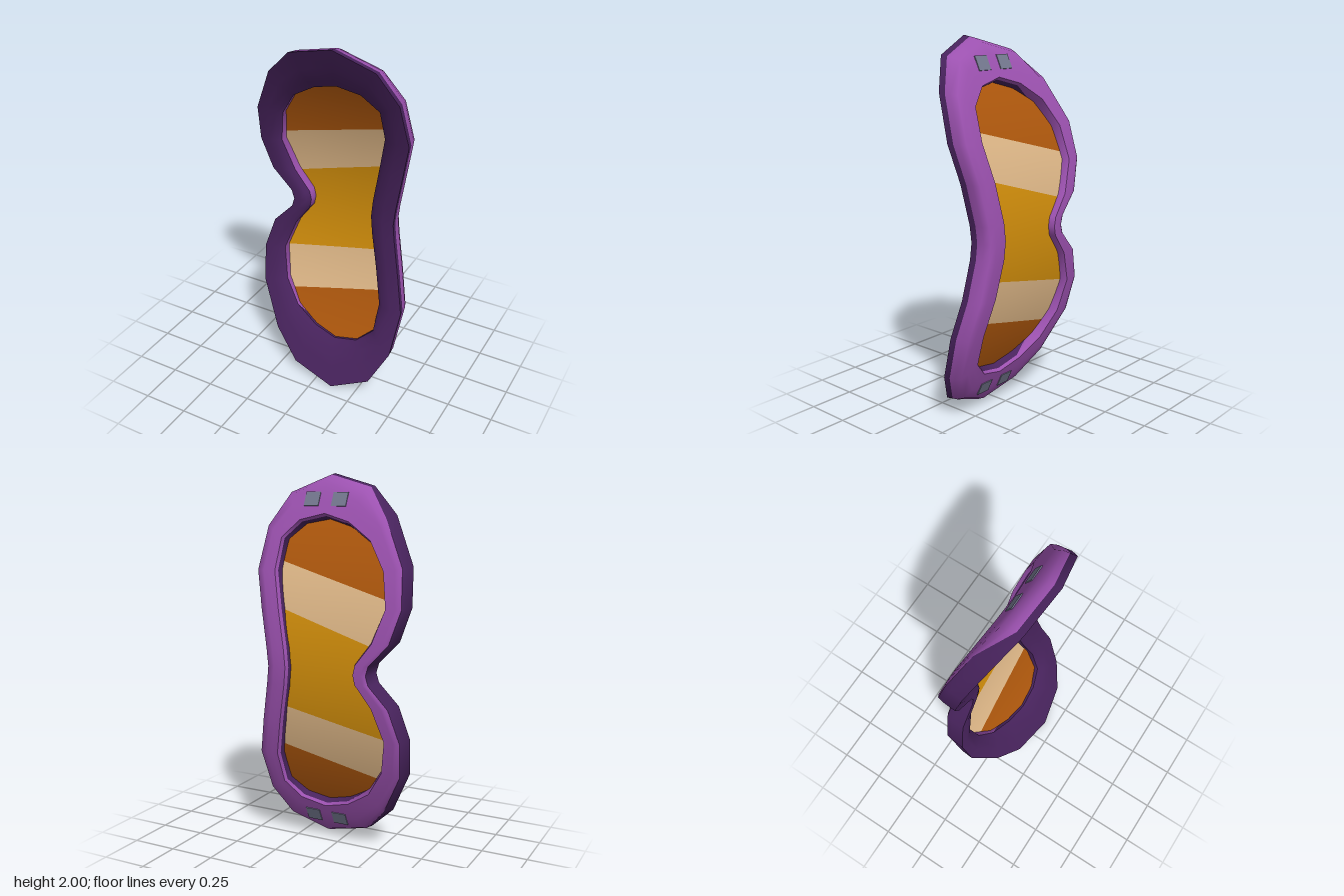
import * as THREE from 'three';

const mat = (name, color) => {
  const m = new THREE.MeshStandardMaterial({ color, side: THREE.DoubleSide });
  m.name = name;
  return m;
};

// Upper half outlines [x, y], clockwise from the crown to the middle, and from the nose notch back up
const outerRight = [[0.11, 2], [0.32, 1.91], [0.41, 1.74], [0.435, 1.5], [0.39, 1.3], [0.35, 1.09], [0.34, 1]];
const outerLeft = [[-0.26, 1], [-0.275, 1.05], [-0.385, 1.165], [-0.44, 1.34], [-0.425, 1.54], [-0.295, 1.79], [-0.14, 1.935]];
const innerRight = [[0.06, 1.765], [0.19, 1.74], [0.28, 1.66], [0.29, 1.5], [0.245, 1.3], [0.205, 1.1], [0.195, 1]];
const innerLeft = [[-0.17, 1], [-0.18, 1.05], [-0.265, 1.165], [-0.33, 1.34], [-0.295, 1.52], [-0.205, 1.65], [-0.07, 1.73]];

// Closed outline mirrored about y = 1
function closeOutline(right, left) {
  const flip = ([x, y]) => [x, 2 - y];
  return [
    ...right,
    ...right.slice(0, -1).reverse().map(flip),
    ...left.slice(1).reverse().map(flip),
    ...left,
  ];
}
const outer = closeOutline(outerRight, outerLeft);
const inner = closeOutline(innerRight, innerLeft);

// Curved wrap of the front edge, back face and lens
const front = y => -0.07 + 0.255 * (y - 1) ** 2;
const back = y => -0.187 + 0.27 * (y - 1) ** 2;
const lensZ = y => -0.155 + 0.325 * (y - 1) ** 2;

function geometryFrom(pos, index) {
  const g = new THREE.BufferGeometry();
  g.setAttribute('position', new THREE.Float32BufferAttribute(pos, 3));
  g.setIndex(index);
  g.computeVertexNormals();
  return g;
}

// Sweep a profile of [t from inner to outer outline, depth curve, offset] round the frame;
// the notched side may have its own profile with as many points
function ring(profile, notchProfile = profile) {
  const pos = [], index = [], n = outer.length, m = profile.length;
  for (let i = 0; i < n; i++) {
    for (const [t, curve, dz] of outer[i][0] < -0.2 ? notchProfile : profile) {
      const x = THREE.MathUtils.lerp(inner[i][0], outer[i][0], t);
      const y = THREE.MathUtils.lerp(inner[i][1], outer[i][1], t);
      pos.push(x, y, curve(y) + dz);
    }
    for (let j = 0; j < m - 1; j++) {
      const a = i * m + j, b = ((i + 1) % n) * m + j;
      index.push(a, b, a + 1, b, b + 1, a + 1);
    }
  }
  return geometryFrom(pos, index);
}

// Where the tilted row y = a + b x crosses the lens outline, with a margin tucked into the frame
function rowSpan(a, b) {
  const xs = [];
  inner.forEach((p, i) => {
    const q = inner[(i + 1) % inner.length];
    const dp = p[1] - a - b * p[0], dq = q[1] - a - b * q[0];
    if ((dp < 0) !== (dq < 0)) xs.push(p[0] + (q[0] - p[0]) * dp / (dp - dq));
  });
  return [Math.min(...xs) - 0.004, Math.max(...xs) + 0.004];
}

// Lens band between two tilted rows
function lensBand([a0, b0], [a1, b1]) {
  const rows = 32, cols = 4, pos = [], index = [];
  for (let r = 0; r <= rows; r++) {
    const a = THREE.MathUtils.lerp(a0, a1, r / rows);
    const b = THREE.MathUtils.lerp(b0, b1, r / rows);
    const [x0, x1] = rowSpan(a, b);
    for (let c = 0; c <= cols; c++) {
      const x = THREE.MathUtils.lerp(x0, x1, c / cols), y = a + b * x;
      pos.push(x, y, lensZ(y));
      if (r < rows && c < cols) {
        const k = r * (cols + 1) + c, up = k + cols + 1;
        index.push(k, k + 1, up, k + 1, up + 1, up);
      }
    }
  }
  return geometryFrom(pos, index);
}

export function createModel() {
  const group = new THREE.Group();
  const add = (name, geometry, material) => {
    const mesh = new THREE.Mesh(geometry, material);
    mesh.name = name;
    group.add(mesh);
    return mesh;
  };
  const purple = mat('frame purple', 0x9d52b1);
  const dark = mat('padding purple', 0x48235d);
  const orange = mat('lens orange', 0xb1590d);
  const cream = mat('lens stripe cream', 0xe4bc8b);
  const amber = mat('lens amber', 0xd6910c);
  const grey = mat('vent grey', 0x74788f);

  // Points where the two purples meet
  const wallSplit = [0.97, front, -0.035], notchWallSplit = [0.88, back, 0.008];
  const lipSplit = [0.07, back, 0.02], padInner = [0, front, -0.033], lipEdge = [0.13, back, 0];

  // Frame shell: outer wall and back face
  add('frame', ring(
    [wallSplit, [0.95, back, 0.04], [0.86, back, 0.006], [0.6, back, 0], [0.35, back, 0], lipEdge],
    [notchWallSplit, notchWallSplit, [0.75, back, 0.001], [0.6, back, 0], [0.35, back, 0], lipEdge],
  ), purple);

  // Inner lip around the lens, purple on the notched side and dark elsewhere
  add('lensLip', ring([lipEdge, lipSplit, lipSplit], [lipEdge, [0, lensZ, 0], padInner]), purple);
  add('lensSeal', ring([lipSplit, [0, lensZ, 0], padInner], [padInner, padInner, padInner]), dark);

  // Face padding and its rim, which covers the whole outer wall on the notched side
  add('padding', ring([padInner, [0.2, front, -0.01], [0.55, front, 0], [1, front, 0]]), dark);
  add('paddingRim', ring(
    [[1, front, 0], [0.985, front, -0.018], wallSplit],
    [[1, front, 0], [0.95, back, 0.04], notchWallSplit],
  ), dark);

  // Lens bands from bottom to top, split along slanted lines
  const lines = [[0.2355, 0], [0.487, 0.245], [0.73, 0.215], [1.225, 0.305], [1.468, 0.27], [1.7645, 0]];
  const bands = [['lowerLens', orange], ['lowerStripe', cream], ['middleLens', amber], ['upperStripe', cream], ['upperLens', orange]];
  bands.forEach(([name, m], i) => add(name, lensBand(lines[i], lines[i + 1]), m));

  // Pairs of vents on the back of both ends
  for (const side of [1, -1]) {
    for (const x of [-0.005, 0.155]) {
      const vent = add('vent', new THREE.BoxGeometry(0.085, 0.078, 0.006), grey);
      vent.position.set(x, 1 + side * 0.868, 0.0155);
      vent.rotation.x = side * 0.44;
    }
  }
  return group;
}
